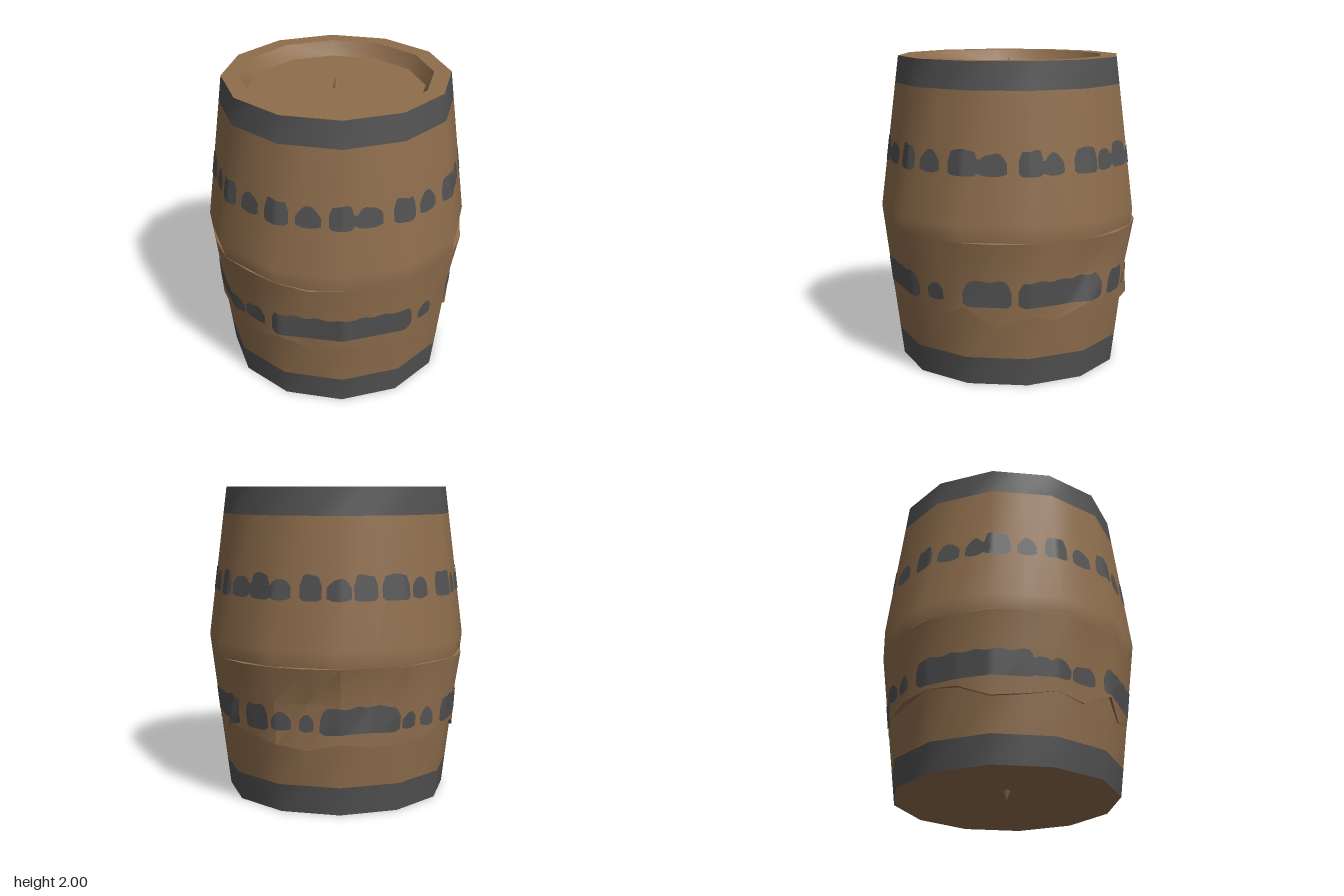
import * as THREE from 'three';
import { toCreasedNormals } from 'three/addons/utils/BufferGeometryUtils.js';

const COLS = 24, STEP = Math.PI * 2 / COLS, MID = Math.cos(STEP);

// Straight-sided barrel profile
const radiusAt = y => (y < 1.03 ? 0.72 + 0.125 * y / 1.03 : 0.845 - 0.125 * (y - 1.03) / 0.97);

// A 12-sided ring at height y; odd columns lie mid-facet, bulge pushes them out to the circle
const corner = (i, r, bulge = 0) => (i % 2 ? r * (MID + (1 - MID) * bulge) : r);
const ring = y => i => [corner(i, radiusAt(y)), y];

// Closed shell through rows of [radius, height]
function loft(rows) {
  const pos = [], idx = [];
  rows.forEach(row => {
    for (let i = 0; i < COLS; i++) {
      const [r, y] = row(i);
      pos.push(r * Math.sin(i * STEP), y, r * Math.cos(i * STEP));
    }
  });
  for (let j = 0; j < rows.length - 1; j++) {
    for (let i = 0; i < COLS; i++) {
      const n = (i + 1) % COLS;
      const a = j * COLS + i, b = j * COLS + n, c = a + COLS, d = b + COLS;
      idx.push(a, b, d, a, d, c);
    }
  }
  const g = new THREE.BufferGeometry();
  g.setAttribute('position', new THREE.Float32BufferAttribute(pos, 3));
  g.setIndex(idx);
  g.computeVertexNormals();
  return g;
}

// Worn iron plate laid on a target shell between two angles (degrees)
function plate(target, a0, a1, y0, y1, round, seed) {
  const n = Math.max(6, Math.ceil((a1 - a0) / 1.5)), m = 4, h = y1 - y0;
  const pos = [], idx = [], ray = new THREE.Raycaster();
  for (let i = 0; i <= n; i++) {
    const deg = a0 + (a1 - a0) * i / n, t = THREE.MathUtils.degToRad(deg);
    const edge = Math.max(0, 1 - Math.min(deg - a0, a1 - deg) / round) ** 2;
    const top = y1 - h * 0.4 * edge - 0.006 * (1 + Math.sin(deg * 0.6 + seed));
    const low = y0 + h * 0.12 * edge;
    const out = new THREE.Vector3(Math.sin(t), 0, Math.cos(t));
    for (let j = 0; j <= m; j++) {
      const y = low + (top - low) * j / m;
      ray.set(out.clone().multiplyScalar(2).setY(y), out.clone().negate());
      const hit = ray.intersectObject(target)[0];
      const r = (hit ? Math.hypot(hit.point.x, hit.point.z) : radiusAt(y)) + 0.004;
      pos.push(out.x * r, y, out.z * r);
      if (i < n && j < m) {
        const a = i * (m + 1) + j, b = a + m + 1;
        idx.push(a, b, b + 1, a, b + 1, a + 1);
      }
    }
  }
  const g = new THREE.BufferGeometry();
  g.setAttribute('position', new THREE.Float32BufferAttribute(pos, 3));
  g.setIndex(idx);
  g.computeVertexNormals();
  return g;
}

export function createModel() {
  const model = new THREE.Group();
  model.name = 'barrel';
  const wood = new THREE.MeshStandardMaterial({ color: 0x8f6e4d });
  wood.name = 'brown wood';
  const iron = new THREE.MeshStandardMaterial({ color: 0x535252 });
  iron.name = 'dark iron';
  const add = (name, geometry, material, parent = model) => {
    const mesh = new THREE.Mesh(geometry, material);
    mesh.name = name;
    parent.add(mesh);
    return mesh;
  };

  // Broken belt: jagged lower edge, bulging staves, dents and flared splinters, by column
  const jag = [0.51, 0.42, 0.47, 0.43, 0.41, 0.42, 0.52, 0.39, 0.46, 0.42, 0.52, 0.48,
    0.44, 0.42, 0.46, 0.43, 0.44, 0.47, 0.5, 0.48, 0.4, 0.42, 0.45, 0.42];
  const bulge = [0, 0.3, 0, 0, 0, 0, 0, 1, 0, 0, 0, 1, 0, 1, 0, 0, 0, 0.4, 0, 1, 0, 0.6, 0, 0.4];
  const dents = { 7: -0.03, 10: -0.045, 13: -0.06, 15: -0.05, 23: -0.015 };
  const flares = { 0: 0.015, 10: 0.015, 13: 0.025, 17: 0.03, 19: 0.01, 20: 0.015 };
  const lip = i => [corner(i, radiusAt(jag[i]) + 0.002, bulge[i] * 0.6) + (flares[i] || 0), jag[i]];
  const waist = i => [corner(i, radiusAt(0.7), bulge[i] * 0.7) + (dents[i] || 0), 0.7];
  const seamY = i => (i === 1 ? 0.9 : 0.93);
  const seam = i => [corner(i, radiusAt(seamY(i)), bulge[i]), seamY(i)];
  const shoulder = i => ring(seamY(i) + 0.003)(i);
  const tucked = i => ring(jag[i])(i);

  // Staves
  add('lowerStaves', loft([ring(0.18), tucked]), wood);
  add('beltUnderside', loft([tucked, lip]), wood);
  const belt = add('brokenBelt', toCreasedNormals(loft([lip, waist, seam]), 0.6), wood);
  add('beltLedge', loft([seam, shoulder]), wood);
  const upper = add('upperStaves', loft([shoulder, ring(1.03), ring(1.83)]), wood);

  // End hoops
  add('bottomHoop', loft([ring(0), ring(0.18)]), iron);
  add('topHoop', loft([ring(1.83), ring(2)]), iron);

  // Recessed lid and shallow dished base
  const disc = points => toCreasedNormals(
    new THREE.LatheGeometry(points.map(p => new THREE.Vector2(...p)), 12), 0.55);
  add('lid', disc([[0.72, 2], [0.61, 2], [0.56, 1.91], [0, 1.91]]), wood);
  add('base', disc([[0, 0.07], [0.72, 0]]), wood);

  // Small pegs at the centre of each end
  add('topPeg', new THREE.ConeGeometry(0.026, 0.08, 8), wood).position.y = 1.95;
  const peg = add('bottomPeg', new THREE.ConeGeometry(0.028, 0.07, 8), wood);
  peg.position.y = 0.036;
  peg.rotation.x = Math.PI;

  // Upper hoop worn down to plates: [start, end, domed], some joined by low bridges
  const upperHoop = new THREE.Group();
  upperHoop.name = 'upperWornHoop';
  model.add(upperHoop);
  const plates = [[-6, 6], [9, 20.5, 1], [24, 35], [36, 48, 1], [53, 64], [67, 78, 1], [83, 97],
    [97, 110, 1], [115, 126], [126, 136, 1], [141, 153], [154, 165, 1], [166, 178], [178, 188, 1],
    [192, 202], [204, 215, 1], [216, 227], [229, 242], [244, 254, 1], [260, 271], [274, 285, 1],
    [288, 297, 1], [297, 309], [312, 321, 1], [325, 336], [339.5, 350, 1]];
  plates.forEach(([a, b, domed], k) => {
    add('hoopPlate', plate(upper, a, b, 1.33, domed ? 1.47 : 1.49, domed ? 5 : 2, k * 2.3),
      iron, upperHoop);
  });
  [35.5, 97, 126, 165.5, 178, 297].forEach(a => {
    add('hoopBridge', plate(upper, a - 3, a + 3, 1.355, 1.43, 2, a), iron, upperHoop);
  });

  // Lower hoop in longer broken pieces
  const lowerHoop = new THREE.Group();
  lowerHoop.name = 'lowerWornHoop';
  model.add(lowerHoop);
  const pieces = [[-4, 65], [70, 79], [90, 112], [115, 158], [163, 176], [178, 187], [191, 198],
    [201, 238], [239, 247], [250, 258], [264, 320], [317, 329], [325, 337], [338, 351]];
  pieces.forEach(([a, b], k) => {
    const small = b - a < 12.5 || b === 351;
    add('hoopPlate', plate(belt, a, b, small ? 0.53 : 0.52, small ? 0.65 : 0.69,
      small ? 4 : 3, k * 1.7), iron, lowerHoop);
  });

  return model;
}
